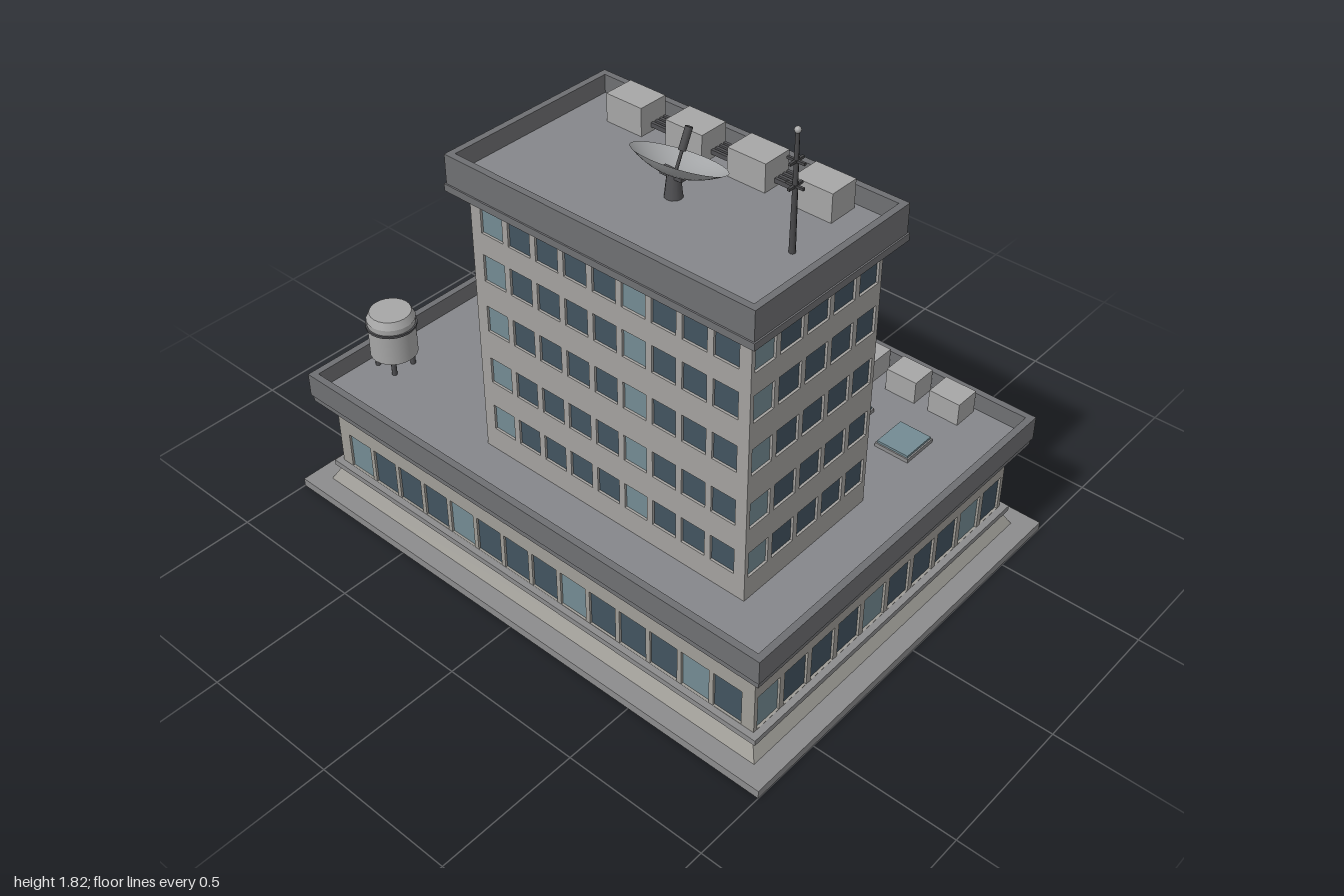
import * as THREE from 'three';

const mat = (color, side = THREE.FrontSide) => new THREE.MeshStandardMaterial({ color, side });
const M = {
  wall: mat(0xa3a19e), baseWall: mat(0x9f9d97), plate: mat(0x8c8c8d), parapet: mat(0x6e6f72),
  roof: mat(0x85868a), dark: mat(0x505053), metal: mat(0xa6a6a6), pole: mat(0x48484a),
  glass: mat(0x42535f), lightGlass: mat(0x738b93), stripe: mat(0xb8b184),
  dish: mat(0xa9abad, THREE.DoubleSide),
};
const RECESS = 0.015;

export function createModel() {
  const root = new THREE.Group();

  const add = (parent, name, geo, material, x = 0, y = 0, z = 0) => {
    const m = new THREE.Mesh(geo, material);
    m.name = name;
    m.position.set(x, y, z);
    parent.add(m);
    return m;
  };
  // Box given by its centre in x and z and by its bottom and top
  const box = (parent, name, material, x, z, w, d, y0, y1) =>
    add(parent, name, new THREE.BoxGeometry(w, y1 - y0, d), material, x, (y0 + y1) / 2, z);
  const cyl = (parent, name, material, x, z, r0, r1, y0, y1, n = 16) =>
    add(parent, name, new THREE.CylinderGeometry(r1, r0, y1 - y0, n), material, x, (y0 + y1) / 2, z);
  const rect = (Type, x, y, w, h) => {
    const p = new Type();
    p.moveTo(x - w / 2, y - h / 2);
    p.lineTo(x + w / 2, y - h / 2);
    p.lineTo(x + w / 2, y + h / 2);
    p.lineTo(x - w / 2, y + h / 2);
    p.closePath();
    return p;
  };

  // Roof with an overhanging band, a floor and a raised rim
  const roof = (name, x, z, w, d, bandGrow, y0, yFloor, y1, rim) => {
    const g = new THREE.Group();
    g.name = name;
    root.add(g);
    box(g, 'lowerBand', M.parapet, x, z, w + bandGrow, d + bandGrow, y0, y0 + 0.024);
    box(g, 'roofFloor', M.roof, x, z, w - rim, d - rim, y0 + 0.01, yFloor);
    const s = rect(THREE.Shape, 0, 0, w, d);
    s.holes.push(rect(THREE.Path, 0, 0, w - 2 * rim, d - 2 * rim));
    const geo = new THREE.ExtrudeGeometry(s, { depth: y1 - y0 - 0.024, bevelEnabled: false });
    geo.rotateX(-Math.PI / 2);
    add(g, 'parapet', geo, M.parapet, x, y0 + 0.024, z);
  };

  // Four wall panels with recessed windows; each opening is {x, y, w, h, material}
  const block = (name, material, x, z, w, d, y0, y1, openingsFor) => {
    const g = new THREE.Group();
    g.name = name;
    g.position.set(x, 0, z);
    root.add(g);
    box(g, 'core', material, 0, 0, w - 2 * RECESS, d - 2 * RECESS, y0, y1);
    for (let side = 0; side < 4; side++) {
      const width = side % 2 ? d : w, reach = (side % 2 ? w : d) / 2;
      const f = new THREE.Group();
      f.name = ['frontWall', 'leftWall', 'backWall', 'rightWall'][side];
      f.rotation.y = side * Math.PI / 2;
      f.position.set(Math.sin(f.rotation.y) * reach, 0, Math.cos(f.rotation.y) * reach);
      g.add(f);
      const s = rect(THREE.Shape, 0, (y0 + y1) / 2, width, y1 - y0);
      for (const o of openingsFor(side)) {
        s.holes.push(rect(THREE.Path, o.x, o.y, o.w, o.h));
        add(f, 'window', new THREE.BoxGeometry(o.w, o.h, 0.008), o.material, o.x, o.y, -RECESS + 0.003);
      }
      add(f, 'panel', new THREE.ExtrudeGeometry(s, { depth: RECESS, bevelEnabled: false }), material, 0, 0, -RECESS);
    }
  };
  const row = (count, step, y, w, h, every) => Array.from({ length: count }, (_, i) => ({
    x: (i - (count - 1) / 2) * step, y, w, h, material: i % every ? M.glass : M.lightGlass,
  }));

  // Ground plate, sloping plinth and ledge
  const cz = 0.015;
  box(root, 'groundPlate', M.plate, 0, cz, 2, 1.476, 0, 0.03);
  const plinth = box(root, 'plinth', M.baseWall, 0, cz, 1.86, 1.344, 0.03, 0.092);
  const p = plinth.geometry.attributes.position;
  for (let i = 0; i < p.count; i++) {
    if (p.getY(i) > 0) p.setXYZ(i, p.getX(i) * 0.963, p.getY(i), p.getZ(i) * 0.95);
  }
  plinth.geometry.computeVertexNormals();
  box(root, 'ledge', M.plate, 0, cz, 1.84, 1.318, 0.09, 0.11);

  // Wide lower storey, with the entrance at the back
  block('lowerStorey', M.baseWall, 0, cz, 1.794, 1.274, 0.105, 0.385, (side) => {
    if (side % 2) return row(10, 0.1277, 0.178, 0.107, 0.134, 4);
    const windows = row(14, 0.1226, 0.178, 0.106, 0.134, 4);
    if (side === 0) return windows;
    return [...windows.filter((o) => Math.abs(o.x) > 0.35),
      { x: 0, y: 0.227, w: 0.52, h: 0.225, material: M.dark }];
  });
  roof('lowerRoof', 0, cz, 1.904, 1.388, -0.012, 0.372, 0.42, 0.482, 0.024);
  box(root, 'canopy', M.plate, 0, -0.687, 0.585, 0.136, 0.356, 0.374);
  for (const s of [-1, 1]) box(root, 'entrancePost', M.plate, s * 0.272, -0.628, 0.025, 0.02, 0.11, 0.357);

  // Tower
  const tx = 0.21, tz = 0.226;
  block('tower', M.wall, tx, tz, 1.05, 0.57, 0.41, 1.38, (side) =>
    [0.55, 0.735, 0.93, 1.115, 1.285].flatMap((y) => (side % 2
      ? row(5, 0.1155, y, 0.096, 0.094, 5)
      : row(9, 0.11, y, 0.088, 0.094, 5))));
  roof('towerRoof', tx, tz, 1.134, 0.662, 0.01, 1.37, 1.43, 1.492, 0.022);

  // Lower roof: landing pad, marking stripes, skylights and air units
  cyl(root, 'landingPad', M.dark, 0, 0, 0.277, 0.277, 0.42, 0.43, 40);
  for (const x of [-0.69, -0.58]) box(root, 'markingStripe', M.stripe, x, -0.2, 0.024, 0.26, 0.42, 0.426);
  for (let i = 0; i < 6; i++) {
    box(root, 'skylightFrame', M.plate, -0.467 + i * 0.228, -0.357, 0.126, 0.136, 0.42, 0.434);
    box(root, 'skylight', M.lightGlass, -0.467 + i * 0.228, -0.357, 0.116, 0.126, 0.43, 0.442);
  }
  for (let i = 0; i < 3; i++) box(root, 'airUnit', M.metal, 0.355 + i * 0.168, -0.593, 0.115, 0.095, 0.42, 0.503);

  // Water tank on legs
  const tank = new THREE.Group();
  tank.name = 'waterTank';
  tank.position.set(-0.845, 0, 0.43);
  root.add(tank);
  cyl(tank, 'tankBody', M.metal, 0, 0, 0.08, 0.08, 0.475, 0.615, 24);
  cyl(tank, 'tankLid', M.metal, 0, 0, 0.082, 0.07, 0.615, 0.64, 24);
  cyl(tank, 'tankBand', M.dark, 0, 0, 0.086, 0.086, 0.586, 0.594, 24);
  for (let i = 0; i < 4; i++) {
    const a = Math.PI / 4 + i * Math.PI / 2;
    cyl(tank, 'tankLeg', M.dark, 0.058 * Math.cos(a), 0.058 * Math.sin(a), 0.009, 0.009, 0.42, 0.48, 8);
  }

  // Tower roof: row of air units joined by pipes
  for (let i = 0; i < 4; i++) {
    const x = -0.143 + i * 0.2325;
    box(root, 'roofUnit', M.metal, x, -0.012, 0.138, 0.106, 1.43, 1.525);
    if (i < 3) {
      for (let k = 0; k < 4; k++) box(root, 'pipe', M.dark, x + 0.116, -0.06 + k * 0.018, 0.1, 0.01, 1.445, 1.46);
    }
  }

  // Dish tilted to the back, with its feed on the axis
  cyl(root, 'dishPedestal', M.dark, 0.21, 0.22, 0.028, 0.02, 1.43, 1.505, 12);
  box(root, 'dishBracket', M.dark, 0.21, 0.222, 0.08, 0.025, 1.495, 1.515);
  const dish = new THREE.Group();
  dish.name = 'dish';
  dish.position.set(0.21, 1.54, 0.196);
  dish.rotation.x = -0.435;
  root.add(dish);
  const bowl = Array.from({ length: 8 }, (_, i) => new THREE.Vector2(0.144 * i / 7, -0.05 * (1 - (i / 7) ** 2)));
  add(dish, 'bowl', new THREE.LatheGeometry(bowl, 32), M.dish);
  cyl(dish, 'feedArm', M.pole, 0, 0, 0.005, 0.005, -0.05, 0.04, 8);
  cyl(dish, 'feedHorn', M.pole, 0, 0, 0.012, 0.012, 0.025, 0.095, 10);

  // Antenna mast with crossed bars
  const mast = new THREE.Group();
  mast.name = 'antenna';
  mast.position.set(0.63, 0, 0.22);
  root.add(mast);
  cyl(mast, 'mast', M.pole, 0, 0, 0.01, 0.006, 1.43, 1.8, 8);
  for (const y of [1.635, 1.711]) {
    box(mast, 'crossBarX', M.pole, 0, 0, 0.058, 0.008, y, y + 0.008);
    box(mast, 'crossBarZ', M.pole, 0, 0, 0.008, 0.058, y, y + 0.008);
  }
  add(mast, 'beacon', new THREE.SphereGeometry(0.01, 10, 8), M.metal, 0, 1.807, 0);

  return root;
}
